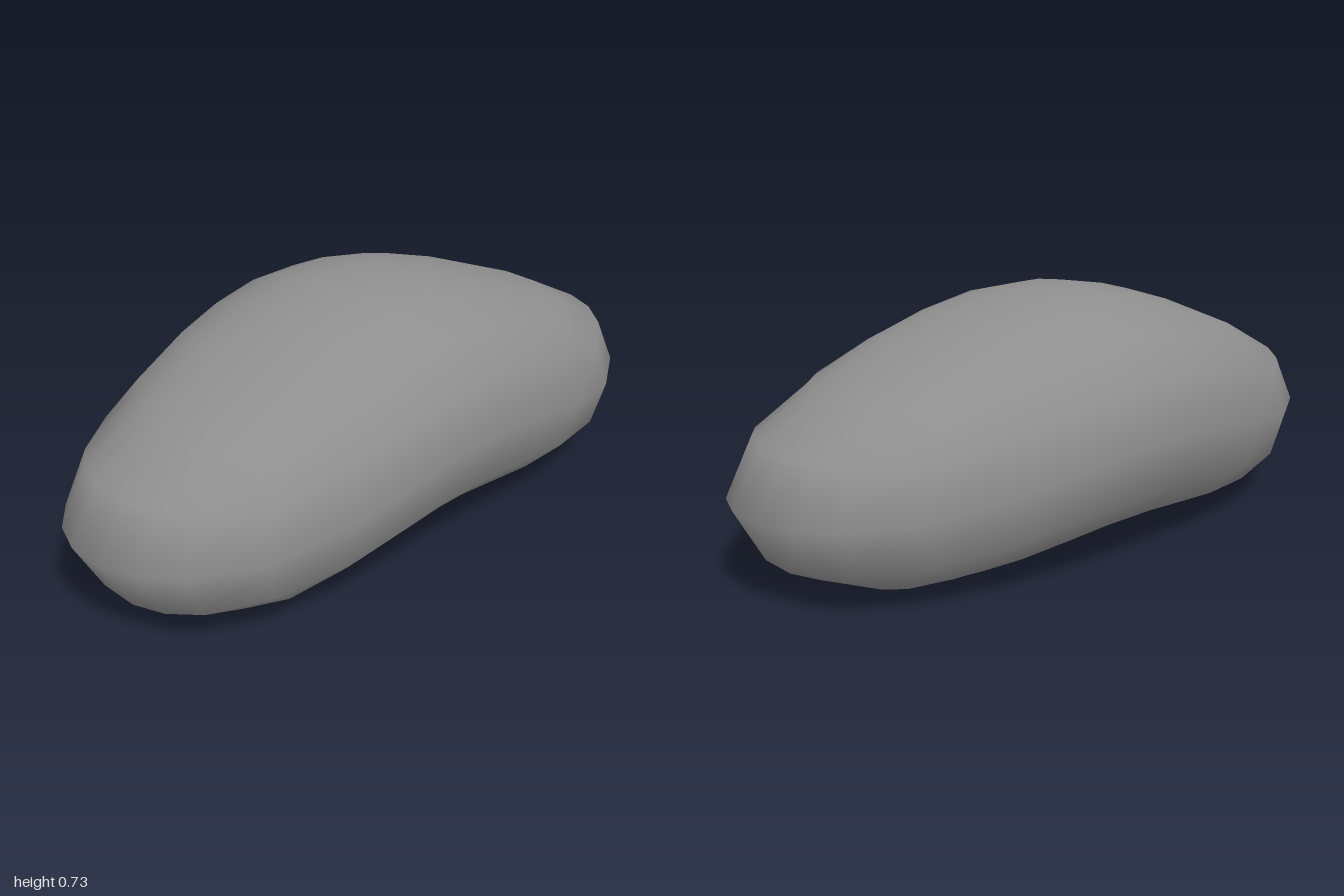
import * as THREE from 'three';
import { mergeVertices } from 'three/addons/utils/BufferGeometryUtils.js';

// Cube point to unit sphere, one axis at a time
const round = (a, b, c) => a * Math.sqrt(Math.max(0, 1 - b * b / 2 - c * c / 2 + b * b * c * c / 3));
// Fuller curve than a circle when e < 1
const bulge = (v, e) => Math.sign(v) * Math.pow(Math.abs(v), e);
// Draws the grid lines in from the box edges
const spacing = t => t - 0.52 * Math.abs(t) ** 3 * Math.sign(t) * (1 - Math.abs(t));

// Box grid rounded into a full ellipsoid, then its two ends bent down and forward
function bentPebble() {
  let g = new THREE.BoxGeometry(2, 2, 2, 7, 4, 7);
  g.deleteAttribute('uv');
  g.deleteAttribute('normal');
  g = mergeVertices(g);
  const p = g.attributes.position;
  for (let i = 0; i < p.count; i++) {
    const a = spacing(p.getX(i)), c = spacing(p.getZ(i));
    const b = bulge(p.getY(i), 0.8);
    const x = round(a, b, c) * 1.005;
    const y = bulge(round(b, a, c), 0.9) * 0.356;
    const fullness = 1 - 0.1 * THREE.MathUtils.smoothstep(Math.abs(x), 0, 0.6);
    const z = bulge(round(c, a, b), fullness) * 0.5;
    const bend = THREE.MathUtils.smoothstep(Math.abs(x), 0, 0.85);
    p.setXYZ(i, x, y + 0.3825 - 0.116 * bend, z + 0.038 * bend);
  }
  g.computeBoundingBox();
  g.translate(0, -g.boundingBox.min.y, 0);
  g.computeVertexNormals();
  return g;
}

export function createModel() {
  const group = new THREE.Group();
  group.name = 'pebble';
  const body = new THREE.Mesh(bentPebble(), new THREE.MeshStandardMaterial({ color: 0x8f8f8f }));
  body.name = 'pebbleBody';
  group.add(body);
  return group;
}
